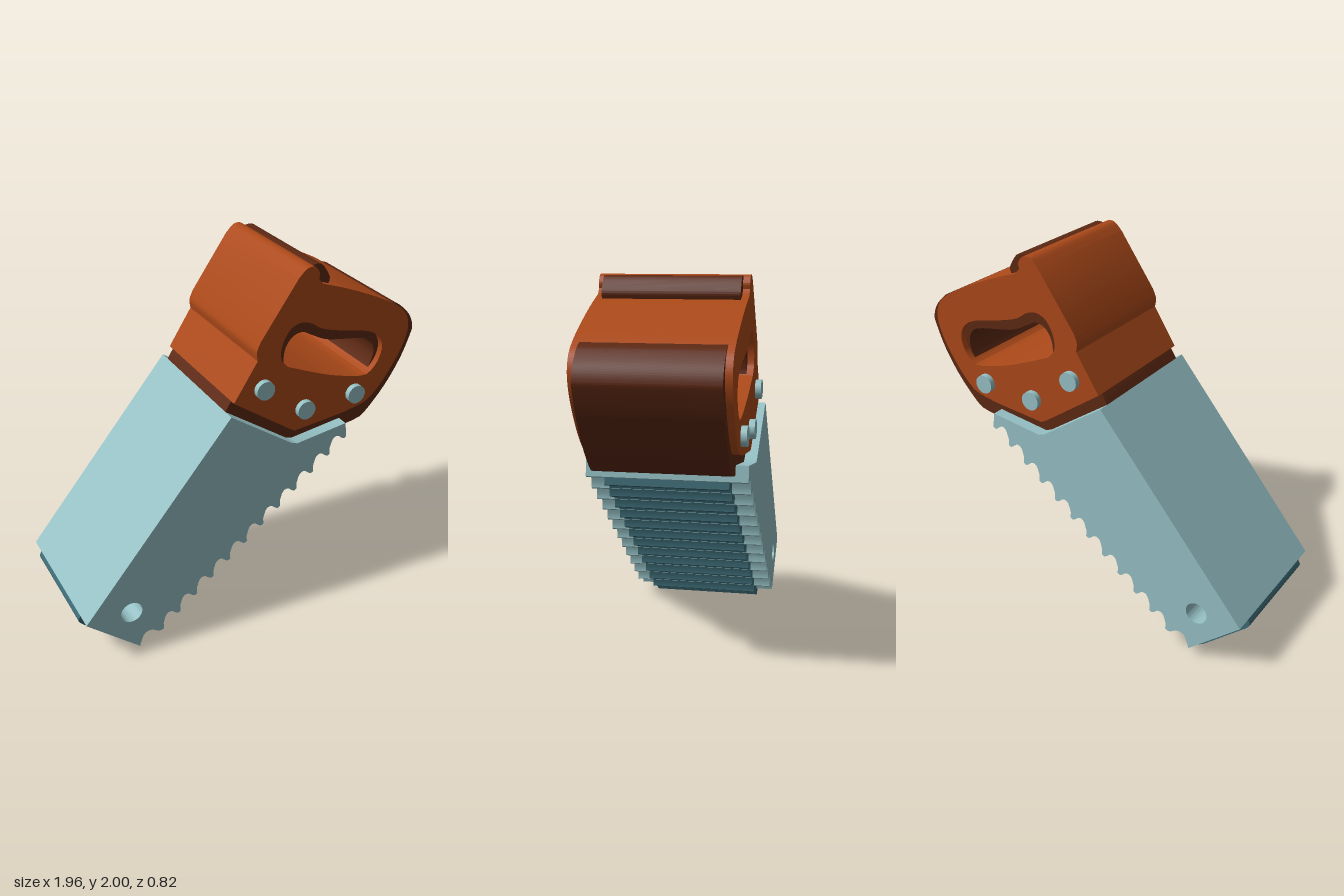
import * as THREE from 'three';
import { toCreasedNormals } from 'three/addons/utils/BufferGeometryUtils.js';

// Outline from runs: one point is a straight line, several points are a smooth curve
function trace(path, start, runs) {
  path.moveTo(...start);
  for (const run of runs) {
    if (run.length === 1) path.lineTo(...run[0]);
    else path.splineThru(run.map(p => new THREE.Vector2(...p)));
  }
  path.closePath();
  return path;
}

// Slab centred on z = 0; the hole is wound against the outline so its walls face inward
function slab(name, shape, hole, depth, material) {
  const outline = shape.getPoints(24), opening = hole.getPoints(24);
  if (THREE.ShapeUtils.isClockWise(outline)) outline.reverse();
  if (!THREE.ShapeUtils.isClockWise(opening)) opening.reverse();
  const solid = new THREE.Shape(outline);
  solid.holes.push(new THREE.Path(opening));
  const geo = new THREE.ExtrudeGeometry(solid, { depth, bevelEnabled: false });
  geo.translate(0, 0, -depth / 2);
  const mesh = new THREE.Mesh(toCreasedNormals(geo, 0.6), material);
  mesh.name = name;
  return mesh;
}

const circle = (x, y, r) => new THREE.Path().absarc(x, y, r, 0, Math.PI * 2, true);

// Scalloped cutting edge from the handle down to the tip; the last tooth is wider
const TEETH = 12, STEP = [-0.0997, -0.0818];
const TOOTH = [[-0.015, -0.008], [-0.034, 0.002], [-0.05, 0.015], [-0.07, 0.016],
  [-0.087, 0], [-0.097, -0.03], [-0.102, -0.048]];
function toothRuns(x0, y0) {
  const runs = [];
  for (let i = 0; i < TEETH; i++) {
    const x = x0 + STEP[0] * i, y = y0 + STEP[1] * i, last = i === TEETH - 1;
    const wide = last ? 1.35 : 1;
    runs.push(TOOTH.map(([dx, dy]) => [x + dx * wide, y + dy]));
    if (!last) runs.push([[x + STEP[0], y + STEP[1]]]);
  }
  return runs;
}

export function createModel() {
  const group = new THREE.Group();
  const mat = color => new THREE.MeshStandardMaterial({ color });
  const steel = mat(0x95c0c4), darkSteel = mat(0x3c6a75);
  const wood = mat(0xab4919), darkWood = mat(0x5c2813);

  // Blade, ending along the lower edge of the handle
  const blade = trace(new THREE.Shape(), [0.557, 1.01], [
    ...toothRuns(0.557, 1.01),
    [[-0.682, 0.042]], [[-0.97, 0.29]], [[-0.14, 1.3]], [[0.215, 1.06]], [[0.25, 1.048]], [[0.547, 1.093]],
  ]);
  group.add(slab('blade', blade, circle(-0.72, 0.285, 0.06), 0.82, steel));

  // Dark inner blade, set a little lower
  const core = trace(new THREE.Shape(), [0.557, 0.97], [
    ...toothRuns(0.557, 0.97),
    [[-0.685, 0.001]], [[-0.72, 0.02]], [[-0.96, 0.228]],
    [[-0.975, 0.245], [-0.98, 0.262], [-0.968, 0.287]],
    [[-0.14, 1.27]], [[0.2, 1.04]], [[0.54, 1.08]],
  ]);
  group.add(slab('bladeCore', core, circle(-0.702, 0.252, 0.058), 0.63, darkSteel));

  // Handle
  const handle = trace(new THREE.Shape(), [-0.11, 1.355], [
    [[0.02, 1.56]],
    [[0.015, 1.61], [0.035, 1.66]],
    [[0.24, 1.955]],
    [[0.285, 1.995], [0.33, 1.995], [0.356, 1.96], [0.352, 1.93]],
    [[0.38, 1.9]],
    [[0.535, 1.845], [0.72, 1.765], [0.84, 1.7], [0.9, 1.645], [0.923, 1.56], [0.89, 1.445],
      [0.8, 1.295], [0.71, 1.195], [0.645, 1.165]],
    [[0.55, 1.145]],
    [[0.28, 1.113], [0.25, 1.113], [0.22, 1.127]],
  ]);
  const grip = trace(new THREE.Path(), [0.195, 1.49], [
    [[0.155, 1.54], [0.158, 1.615], [0.2, 1.69], [0.26, 1.717], [0.32, 1.703], [0.39, 1.66], [0.51, 1.625],
      [0.66, 1.592], [0.735, 1.55], [0.765, 1.485], [0.75, 1.415], [0.715, 1.365], [0.68, 1.34]],
    [[0.61, 1.345], [0.43, 1.395], [0.195, 1.49]],
  ]);
  group.add(slab('handle', handle, grip, 0.76, wood));

  // Dark inner handle, showing past the lower and right edges and inside the grip
  const inner = trace(new THREE.Shape(), [-0.14, 1.3], [
    [[0.215, 1.06]], [[0.25, 1.048]], [[0.547, 1.093]], [[0.56, 1.045]],
    [[0.65, 1.06], [0.71, 1.09], [0.825, 1.22], [0.915, 1.365], [0.97, 1.5], [0.977, 1.55],
      [0.95, 1.615], [0.885, 1.68], [0.84, 1.702]],
    [[0.72, 1.75]], [[0.43, 1.88]],
    [[0.435, 1.92], [0.385, 1.99], [0.32, 1.99]],
    [[0.1, 1.7]], [[0.05, 1.55]], [[-0.11, 1.35]],
  ]);
  const innerGrip = trace(new THREE.Path(), [0.2, 1.46], [
    [[0.188, 1.52], [0.2, 1.585], [0.24, 1.635], [0.295, 1.647], [0.35, 1.62], [0.45, 1.575],
      [0.65, 1.54], [0.715, 1.51], [0.738, 1.45], [0.725, 1.39], [0.68, 1.31]],
    [[0.43, 1.36]],
  ]);
  group.add(slab('handleCore', inner, innerGrip, 0.69, darkWood));

  // Rivets through the handle
  for (const [x, y] of [[0.055, 1.4], [0.3, 1.23], [0.605, 1.25]]) {
    const rivet = new THREE.Mesh(new THREE.CylinderGeometry(0.051, 0.051, 0.822, 28), steel);
    rivet.rotation.x = Math.PI / 2;
    rivet.position.set(x, y, 0);
    rivet.name = 'rivet';
    group.add(rivet);
  }
  return group;
}
